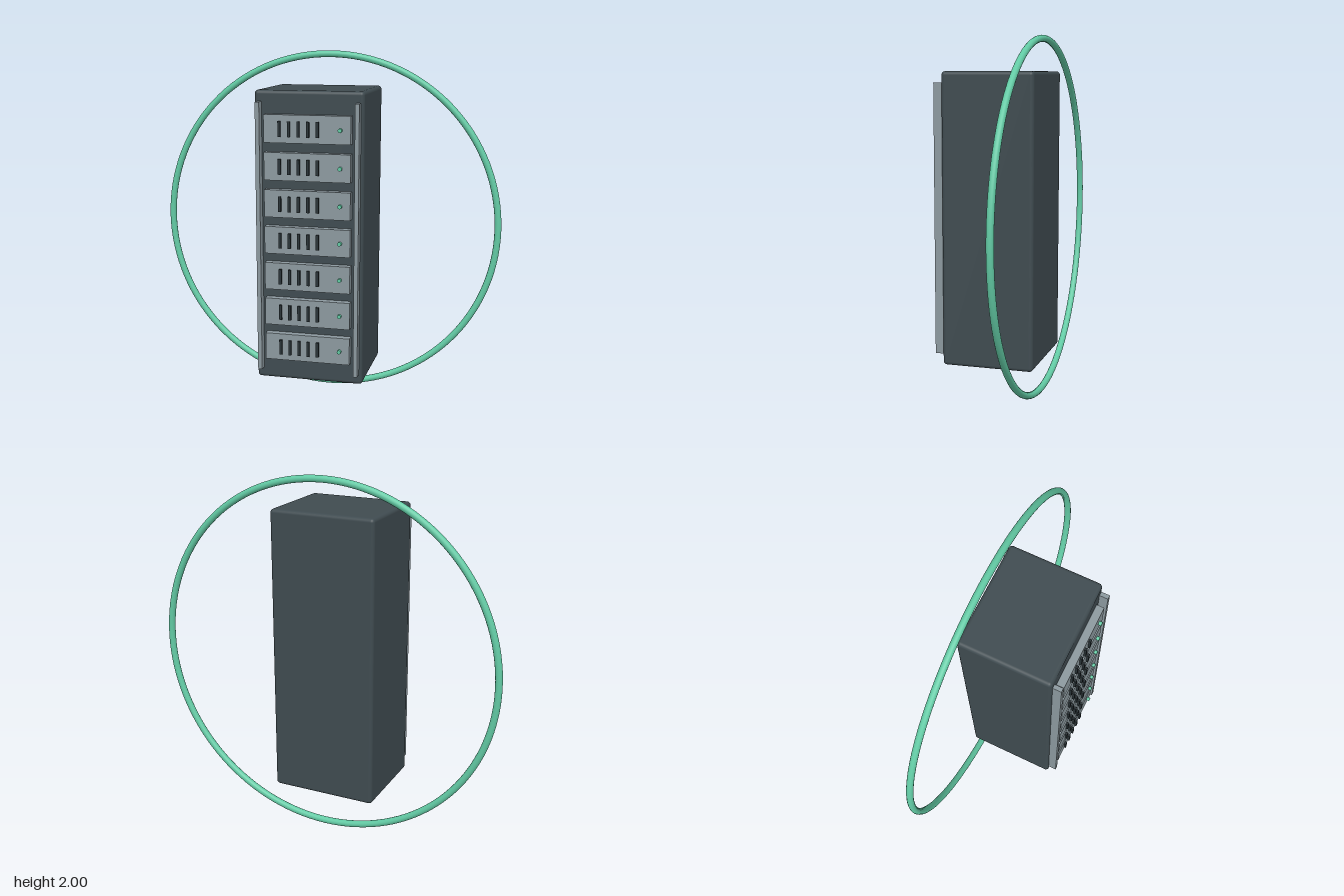
import * as THREE from 'three';
import { RoundedBoxGeometry } from 'three/addons/geometries/RoundedBoxGeometry.js';

const material = (name, color) => {
  const m = new THREE.MeshStandardMaterial({ color });
  m.name = name;
  return m;
};

export function createModel() {
  const charcoal = material('charcoal', 0x3f4b50);
  const silver = material('silver grey', 0x8c999f);
  const dark = material('vent black', 0x283236);
  const mint = material('mint green', 0x62caa4);

  const model = new THREE.Group();
  model.name = 'serverRack';

  const add = (parent, name, geometry, mat, x, y, z) => {
    const mesh = new THREE.Mesh(geometry, mat);
    mesh.name = name;
    mesh.position.set(x, y, z);
    parent.add(mesh);
    return mesh;
  };

  // Cabinet with softened edges
  add(model, 'cabinet', new RoundedBoxGeometry(0.6, 1.61, 0.512, 4, 0.02), charcoal, 0, 1, -0.03);

  // Large ring near the back of the cabinet
  add(model, 'ring', new THREE.TorusGeometry(0.981, 0.019, 16, 128), mint, 0, 1, -0.262);

  // Upright rails on both sides of the front
  const railGeometry = new THREE.BoxGeometry(0.023, 1.49, 0.05);
  for (const side of [-1, 1]) {
    add(model, side > 0 ? 'leftRail' : 'rightRail', railGeometry, silver, side * 0.271, 1, 0.248);
  }

  // Seven stacked units, each with five vent slots and a status light
  const unitGeometry = new THREE.BoxGeometry(0.474, 0.15, 0.06);
  const ventGeometry = new THREE.BoxGeometry(0.015, 0.083, 0.012);
  const lightGeometry = new THREE.CylinderGeometry(0.011, 0.011, 0.02, 16).rotateX(Math.PI / 2);
  for (let i = -3; i <= 3; i++) {
    const unit = new THREE.Group();
    unit.name = 'unit' + (i + 4);
    unit.position.y = 1 + i * 0.2017;
    add(unit, 'unitPanel', unitGeometry, silver, 0, 0, 0.238);
    for (let v = -2; v <= 2; v++) {
      add(unit, 'ventSlot', ventGeometry, dark, -0.045 + v * 0.052, 0, 0.274);
    }
    add(unit, 'statusLight', lightGeometry, mint, 0.182, 0, 0.276);
    model.add(unit);
  }

  return model;
}
